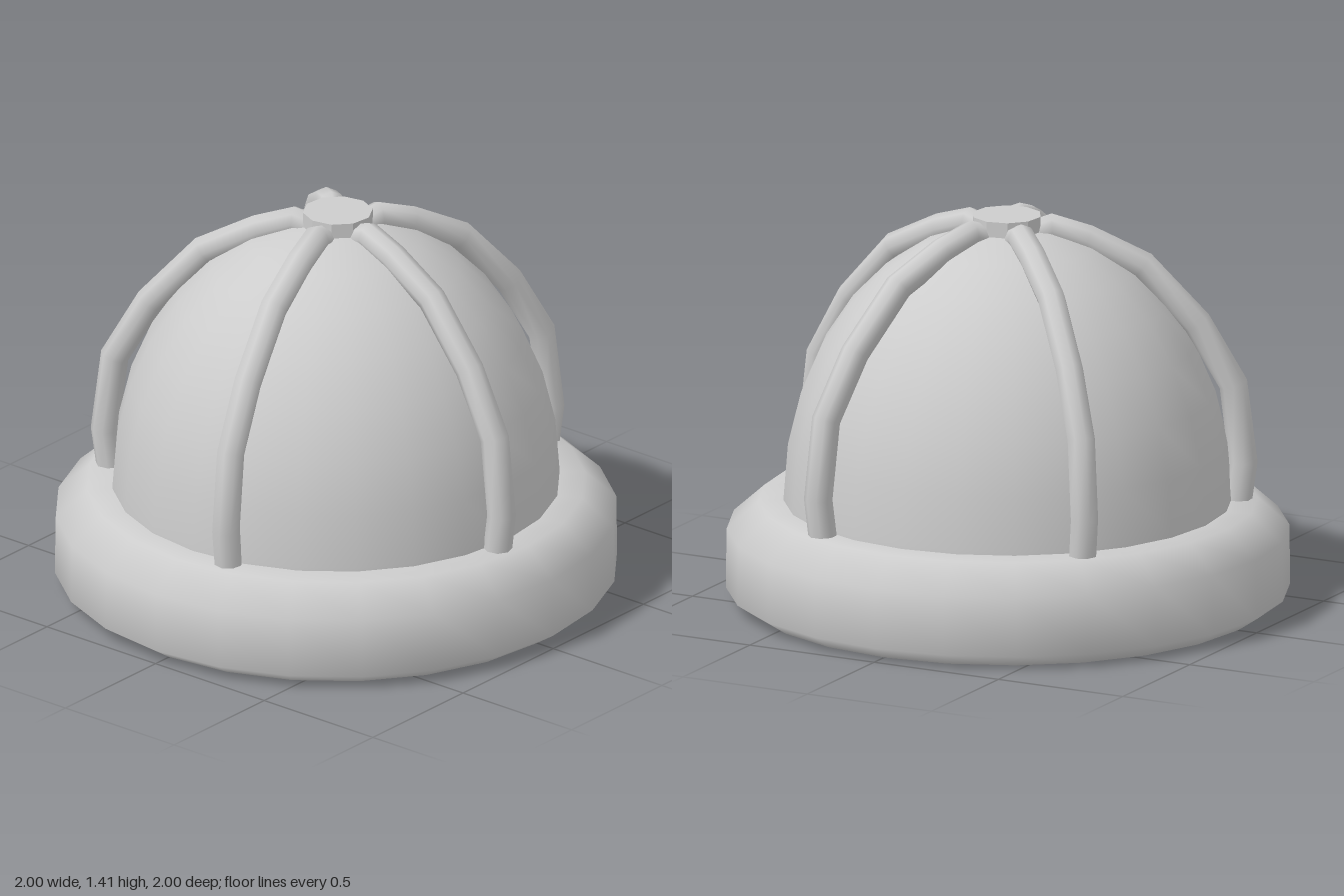
import * as THREE from 'three';

const SIDES = 24;
const lathe = (points, sides = SIDES) =>
  new THREE.LatheGeometry(points.map(([r, y]) => new THREE.Vector2(r, y)), sides);

export function createModel() {
  const model = new THREE.Group();
  model.name = 'ribbedDome';
  const grey = new THREE.MeshStandardMaterial({ color: 0xcccccc });
  grey.name = 'light grey';

  const add = (name, geometry, parent = model) => {
    const mesh = new THREE.Mesh(geometry, grey);
    mesh.name = name;
    parent.add(mesh);
    return mesh;
  };

  // Thick bevelled base ring with a flat underside
  add('base', lathe([[0.925, 0], [1, 0.05], [0.997, 0.265], [0.885, 0.365], [0.76, 0.368]]));
  add('baseUnderside', new THREE.CircleGeometry(0.925, SIDES)).rotation.x = Math.PI / 2;

  // Dome: half an upright ellipsoid rising from the base ring
  const radius = 0.795, height = 0.99, centreY = 0.38, steps = 8;
  const profile = [[radius, 0.34]];
  for (let i = 0; i < steps; i++) {
    const a = (i / steps) * Math.PI / 2;
    profile.push([radius * Math.cos(a), centreY + height * Math.sin(a)]);
  }
  profile.push([0, centreY + height]);
  add('dome', lathe(profile));

  // Five bent ribs, each running from the base up to the hub
  const cage = new THREE.Group();
  cage.name = 'cage';
  cage.position.z = -0.01;
  model.add(cage);
  const bends = [[0.81, 0.3], [0.838, 0.5], [0.803, 0.785], [0.675, 1.01],
    [0.482, 1.222], [0.285, 1.32], [0.16, 1.362], [0.09, 1.335]];
  const path = new THREE.CatmullRomCurve3(bends.map(([r, y]) => new THREE.Vector3(r, y, 0)));
  // Place the tube's rings exactly at the bends
  path.getPointAt = (t, target) => path.getPoint(t, target);
  path.getTangentAt = (t, target) => path.getTangent(t, target);
  const ribGeometry = new THREE.TubeGeometry(path, bends.length - 1, 0.051, 8);
  for (let i = 0; i < 5; i++) {
    const rib = add('rib' + (i + 1), ribGeometry, cage);
    rib.rotation.y = -THREE.MathUtils.degToRad(6.5 + 72 * i);
  }

  // Flat ten-sided hub joining the ribs
  const hub = add('hub', new THREE.CylinderGeometry(0.125, 0.125, 0.07, 10).toNonIndexed(), cage);
  hub.geometry.computeVertexNormals();
  hub.position.y = 1.375;
  hub.rotation.y = -THREE.MathUtils.degToRad(6.5);

  return model;
}
